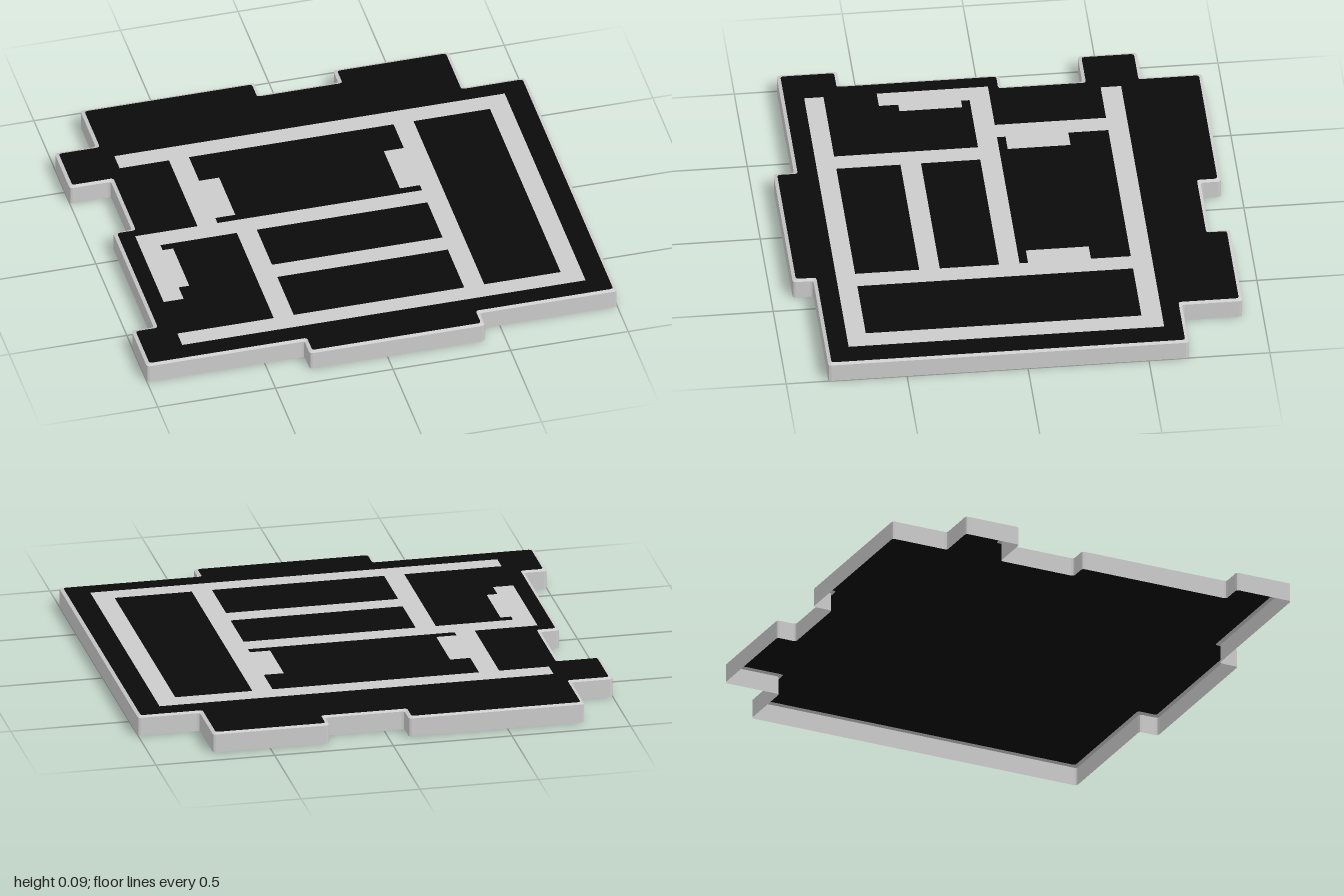
import * as THREE from 'three';

// Plan outline as [x, z] corners, clockwise seen from above
const OUTLINE = [
  [-0.825, -0.915], [-0.085, -0.915], [-0.085, -0.83], [0.25, -0.83], [0.25, -0.915], [0.74, -0.915],
  [0.74, -0.665], [1, -0.665], [1, 0.825], [0.415, 0.825], [0.415, 0.91], [-0.33, 0.91],
  [-0.33, 0.825], [-1, 0.825], [-1, 0.575], [-0.905, 0.575], [-0.905, -0.085], [-0.825, -0.085],
  [-0.825, -0.42], [-1, -0.42], [-1, -0.665], [-0.825, -0.665],
];

// Walkways as [name, x0, x1, z0, z1]
const PATHS = [
  ['backPath', -0.77, 0.89, -0.575, -0.49],
  ['rightEdgePath', 0.805, 0.89, -0.49, 0.65],
  ['frontPath', -0.825, 0.89, 0.65, 0.73],
  ['innerPath', 0.395, 0.48, -0.49, 0.65],
  ['backConnector', -0.56, -0.475, -0.49, -0.03],
  ['backPad', -0.475, -0.39, -0.325, -0.065],
  ['innerPad', 0.31, 0.395, -0.325, -0.065],
  ['middlePath', -0.825, 0.395, -0.03, 0.055],
  ['frontConnector', -0.415, -0.33, 0.055, 0.65],
  ['crossPath', -0.33, 0.395, 0.3, 0.385],
  ['sideStub', -0.825, -0.74, 0.055, 0.43],
  ['sidePad', -0.74, -0.695, 0.09, 0.35],
];

const FLOOR_Y = 0.085;
const BEVEL_Y = 0.079;
const INSET = 0.014;

// Outline moved inwards by d, each corner softened with three points
function ring(d, r = 0.012) {
  const n = OUTLINE.length;
  const pts = [];
  OUTLINE.forEach(([x, z], i) => {
    const [px, pz] = OUTLINE[(i + n - 1) % n];
    const [qx, qz] = OUTLINE[(i + 1) % n];
    const a = new THREE.Vector2(x - px, z - pz).normalize();
    const b = new THREE.Vector2(qx - x, qz - z).normalize();
    const c = new THREE.Vector2(x - d * (a.y + b.y), z + d * (a.x + b.x));
    pts.push(
      c.clone().addScaledVector(a, -r),
      c.clone().addScaledVector(b, r / 4).addScaledVector(a, -r / 4),
      c.clone().addScaledVector(b, r),
    );
  });
  return pts;
}

// Strip of quads joining two matching rings
function band(low, y0, high, y1) {
  const pos = [];
  low.forEach((p, i) => {
    const j = (i + 1) % low.length;
    const a = [p.x, y0, p.y];
    const b = [low[j].x, y0, low[j].y];
    const c = [high[j].x, y1, high[j].y];
    const e = [high[i].x, y1, high[i].y];
    pos.push(...a, ...c, ...b, ...a, ...e, ...c);
  });
  const geo = new THREE.BufferGeometry();
  geo.setAttribute('position', new THREE.Float32BufferAttribute(pos, 3));
  geo.computeVertexNormals();
  return geo;
}

export function createModel() {
  const group = new THREE.Group();
  group.name = 'floorPlate';
  const grey = new THREE.MeshStandardMaterial({ color: 0xcccccc, side: THREE.DoubleSide });
  const black = new THREE.MeshStandardMaterial({ color: 0x0a0a0a, side: THREE.DoubleSide });
  const add = (name, geo, mat) => {
    const mesh = new THREE.Mesh(geo, mat);
    mesh.name = name;
    group.add(mesh);
    return mesh;
  };

  // Skirt, open underneath, with a bevelled rim
  const outer = ring(0);
  const inner = ring(INSET);
  add('skirt', band(outer, 0, outer, BEVEL_Y), grey);
  add('rim', band(outer, BEVEL_Y, inner, FLOOR_Y), grey);

  // Dark floor
  const shape = new THREE.Shape(inner.map((p) => new THREE.Vector2(p.x, -p.y)));
  add('floor', new THREE.ShapeGeometry(shape).rotateX(-Math.PI / 2), black).position.y = FLOOR_Y;

  // Pale walkways lying on the floor
  for (const [name, x0, x1, z0, z1] of PATHS) {
    const geo = new THREE.PlaneGeometry(x1 - x0, z1 - z0).rotateX(-Math.PI / 2);
    const path = add(name, geo, new THREE.MeshStandardMaterial({ color: 0xcccccc }));
    path.position.set((x0 + x1) / 2, FLOOR_Y + 0.002, (z0 + z1) / 2);
  }
  return group;
}
